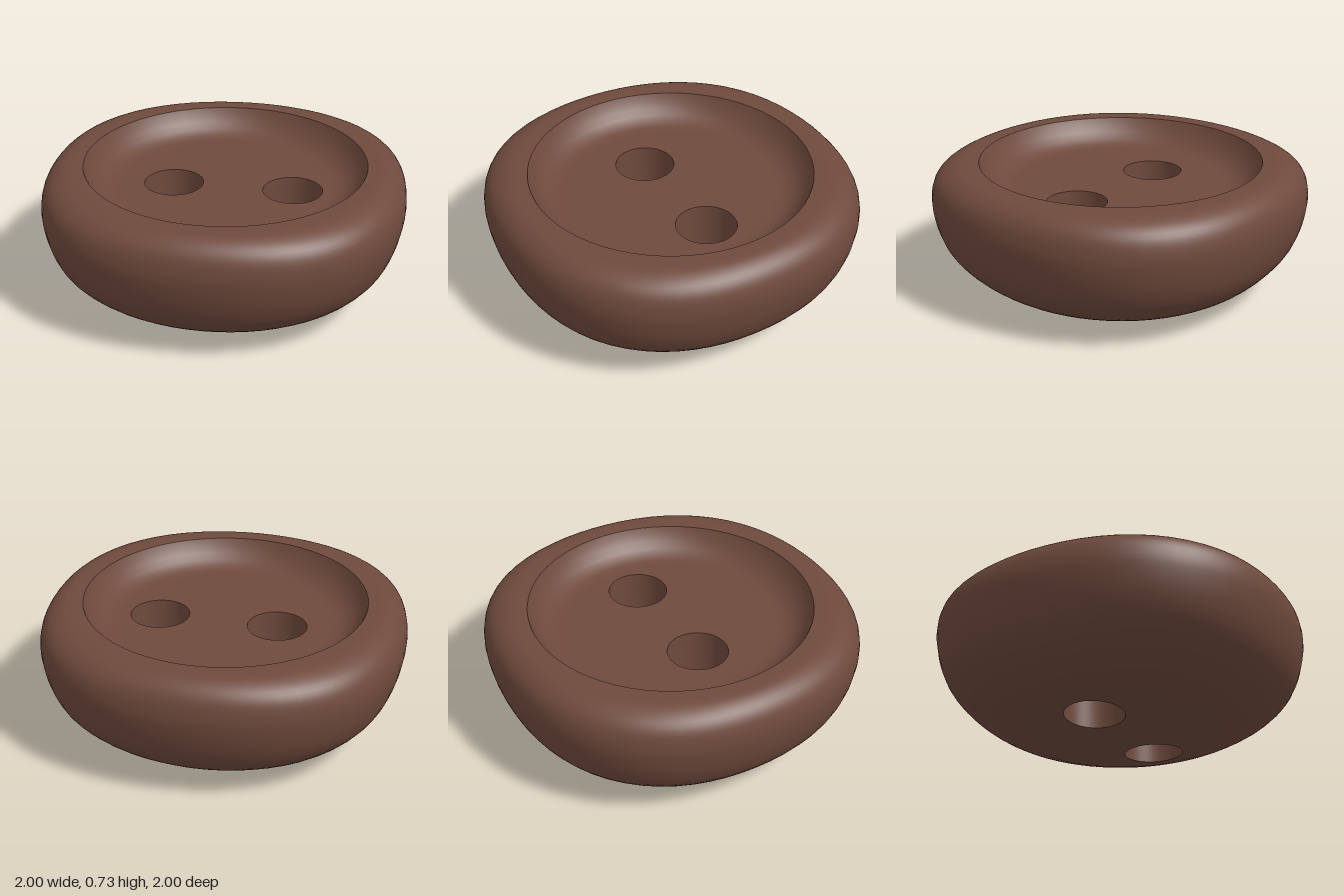
import * as THREE from 'three';
import { mergeGeometries, mergeVertices } from 'three/addons/utils/BufferGeometryUtils.js';

const SEGMENTS = 64;
const PATCH_RADIUS = 0.6; // the discs with holes end here, the lathed parts begin
const FLOOR_Y = 0.58;
const HOLE_RADIUS = 0.165;
const HOLES = [{ x: -0.29, side: -1 }, { x: 0.375, side: 1 }];

const bottomY = (r) => 0.1 * r * r;

// Weld the vertices so that the normals run smoothly over seams.
function weld(geometries) {
  const bare = geometries.map((g) => {
    g.deleteAttribute('uv');
    g.deleteAttribute('normal');
    return g;
  });
  const merged = mergeVertices(mergeGeometries(bare), 1e-4);
  merged.computeVertexNormals();
  return merged;
}

// Surface through closed loops of equal point count.
function loft(rows) {
  const n = rows[0].length;
  const index = [];
  for (let j = 0; j < rows.length - 1; j++) {
    for (let i = 0; i < n; i++) {
      const k = (i + 1) % n;
      const a = j * n + i, b = (j + 1) * n + i, c = (j + 1) * n + k, d = j * n + k;
      index.push(a, b, c, a, c, d);
    }
  }
  const geometry = new THREE.BufferGeometry().setFromPoints(rows.flat());
  geometry.setIndex(index);
  return geometry;
}

function lathe(points) {
  return new THREE.LatheGeometry(points.map(([r, y]) => new THREE.Vector2(r, y)), SEGMENTS);
}

// Outline of half a disc: an arc on one side, closed by the diameter.
function halfDisc(side) {
  const points = [];
  const start = side > 0 ? 0 : Math.PI;
  for (let i = 0; i <= SEGMENTS / 2; i++) {
    const a = start + (i / SEGMENTS) * Math.PI * 2;
    points.push(new THREE.Vector3(PATCH_RADIUS * Math.sin(a), 0, PATCH_RADIUS * Math.cos(a)));
  }
  for (let i = 1; i < 14; i++) {
    points.push(new THREE.Vector3(0, 0, side * PATCH_RADIUS * (i / 7 - 1)));
  }
  return points;
}

// Loops from the edge of a hole out to the half disc, lifted to a height rule.
function holeLoops({ x, side }, height, steps) {
  const centre = new THREE.Vector3(x, 0, 0);
  const outer = halfDisc(side);
  const inner = outer.map((p) => p.clone().sub(centre).setLength(HOLE_RADIUS).add(centre));
  const rows = [];
  for (let j = 0; j <= steps; j++) {
    rows.push(outer.map((p, i) => {
      const q = inner[i].clone().lerp(p, j / steps);
      q.y = height(Math.hypot(q.x, q.z));
      return q;
    }));
  }
  return rows;
}

// Outer shell: round near the middle, swelling to a soft square at the edge.
function shellGeometry() {
  const path = new THREE.SplineCurve([
    [0.6, 0.036], [0.72, 0.08], [0.83, 0.15], [0.92, 0.25], [0.97, 0.36], [0.995, 0.47],
    [1, 0.55], [0.985, 0.63], [0.95, 0.685], [0.9, 0.718], [0.85, 0.729], [0.78, 0.729],
  ].map(([r, y]) => new THREE.Vector2(r, y)));
  const geometry = lathe(path.getPoints(33).map((p) => [p.x, p.y]));
  const position = geometry.attributes.position;
  for (let i = 0; i < position.count; i++) {
    const x = position.getX(i), z = position.getZ(i);
    const inner = position.getY(i) < 0.5 ? 0.6 : 0.78;
    const blend = THREE.MathUtils.smoothstep(Math.hypot(x, z), inner, 1);
    const swell = 1 + 0.043 * blend * Math.sin(2 * Math.atan2(z, x)) ** 2;
    position.setX(i, x * swell);
    position.setZ(i, z * swell);
  }
  return geometry;
}

export function createModel() {
  const group = new THREE.Group();
  const material = new THREE.MeshStandardMaterial({ color: 0x6f4a3d });
  const add = (name, geometry) => {
    const mesh = new THREE.Mesh(geometry, material);
    mesh.name = name;
    group.add(mesh);
  };

  // Rounded body with the domed underside
  const underside = HOLES.map((h) => loft(holeLoops(h, bottomY, 6).reverse()));
  add('buttonBody', weld([shellGeometry(), ...underside]));

  // Dished recess with a flat floor
  const slope = lathe([
    [0.78, 0.729], [0.765, 0.695], [0.74, 0.655], [0.71, 0.622], [0.675, 0.598],
    [0.64, 0.585], [PATCH_RADIUS, FLOOR_Y],
  ]);
  const floor = HOLES.map((h) => loft(holeLoops(h, () => FLOOR_Y, 4)));
  add('recess', weld([slope, ...floor]));

  // Straight walls of the two thread holes
  HOLES.forEach((h) => {
    const low = holeLoops(h, bottomY, 1)[0];
    const high = holeLoops(h, () => FLOOR_Y, 1)[0];
    add(h.side > 0 ? 'leftThreadHole' : 'rightThreadHole', weld([loft([low, high])]));
  });

  return group;
}
